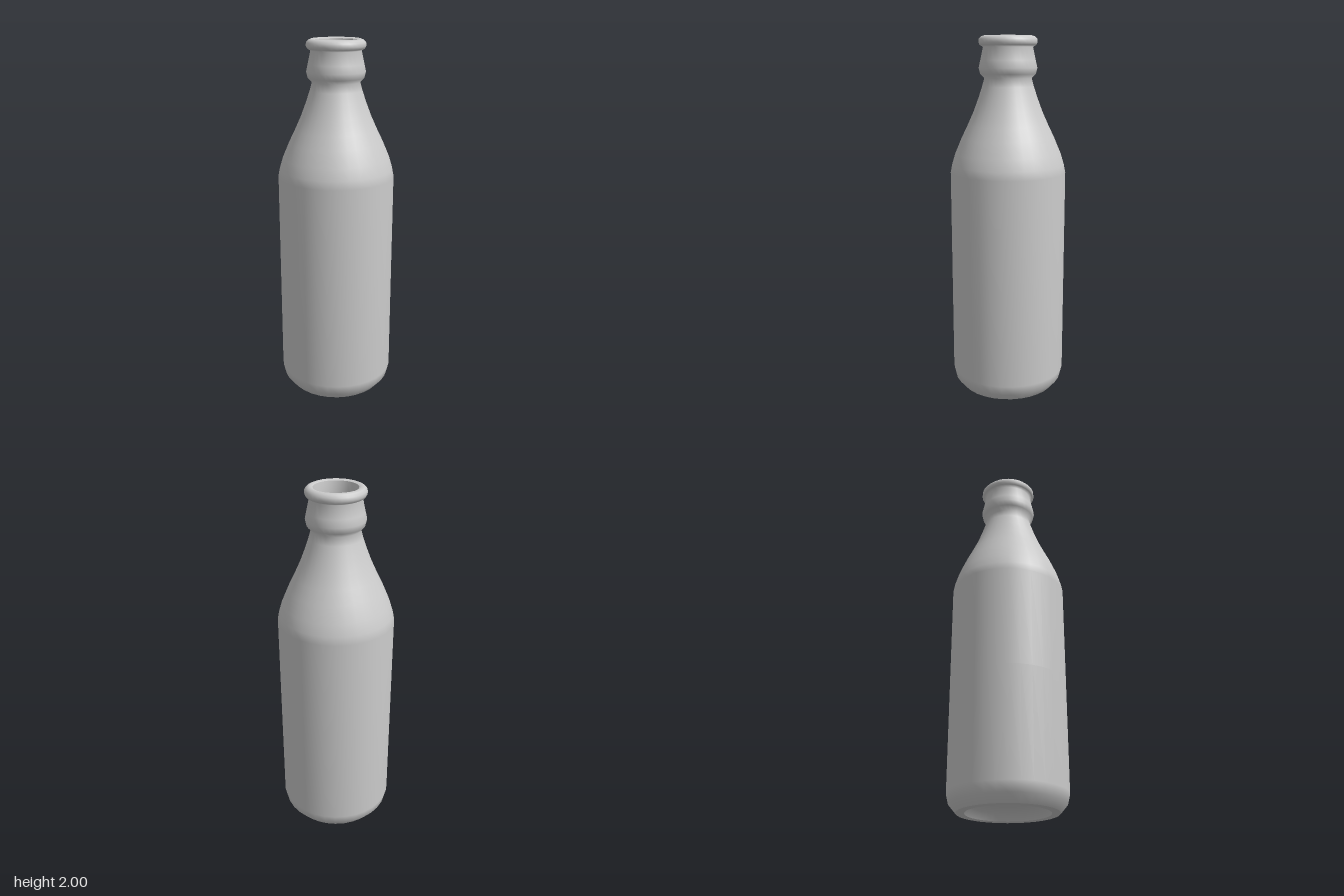
import * as THREE from 'three';

const SIDES = 32;
const material = new THREE.MeshStandardMaterial({ color: 0xcccccc });

// Spin a [radius, height] profile round the vertical axis; rising points face outward
function turned(name, profile) {
  const points = profile.map(([r, y]) => new THREE.Vector2(r, y));
  const mesh = new THREE.Mesh(new THREE.LatheGeometry(points, SIDES), material);
  mesh.name = name;
  return mesh;
}

export function createModel() {
  const bottle = new THREE.Group();
  bottle.name = 'bottle';

  // Hollow under the base
  bottle.add(turned('basePunt', [
    [0, 0.085], [0.08, 0.08], [0.15, 0.065], [0.2, 0.04], [0.225, 0],
  ]));

  // Flat ring the bottle stands on
  bottle.add(turned('footRing', [[0.225, 0], [0.27, 0]]));

  // Outer wall: heel, body, shoulder, neck collar and lip
  bottle.add(turned('outerWall', [
    [0.27, 0], [0.308, 0.045], [0.321, 0.1], [0.321, 0.7], [0.321, 1.26],
    [0.312, 1.305], [0.294, 1.365], [0.258, 1.45], [0.224, 1.52], [0.19, 1.595],
    [0.162, 1.67], [0.142, 1.73], [0.13, 1.775],
    [0.152, 1.797], [0.16, 1.83], [0.151, 1.87], [0.136, 1.94],
    [0.153, 1.949], [0.16, 1.963], [0.159, 1.981], [0.147, 1.994],
    [0.132, 2], [0.117, 1.993],
  ]));

  // Inner wall and rounded floor
  bottle.add(turned('innerWall', [
    [0.117, 1.993], [0.11, 1.94], [0.108, 1.775], [0.165, 1.595], [0.232, 1.45],
    [0.285, 1.305], [0.295, 1.25], [0.295, 0.7], [0.295, 0.2],
    [0.27, 0.15], [0.2, 0.12], [0.1, 0.105], [0, 0.1],
  ]));

  return bottle;
}
